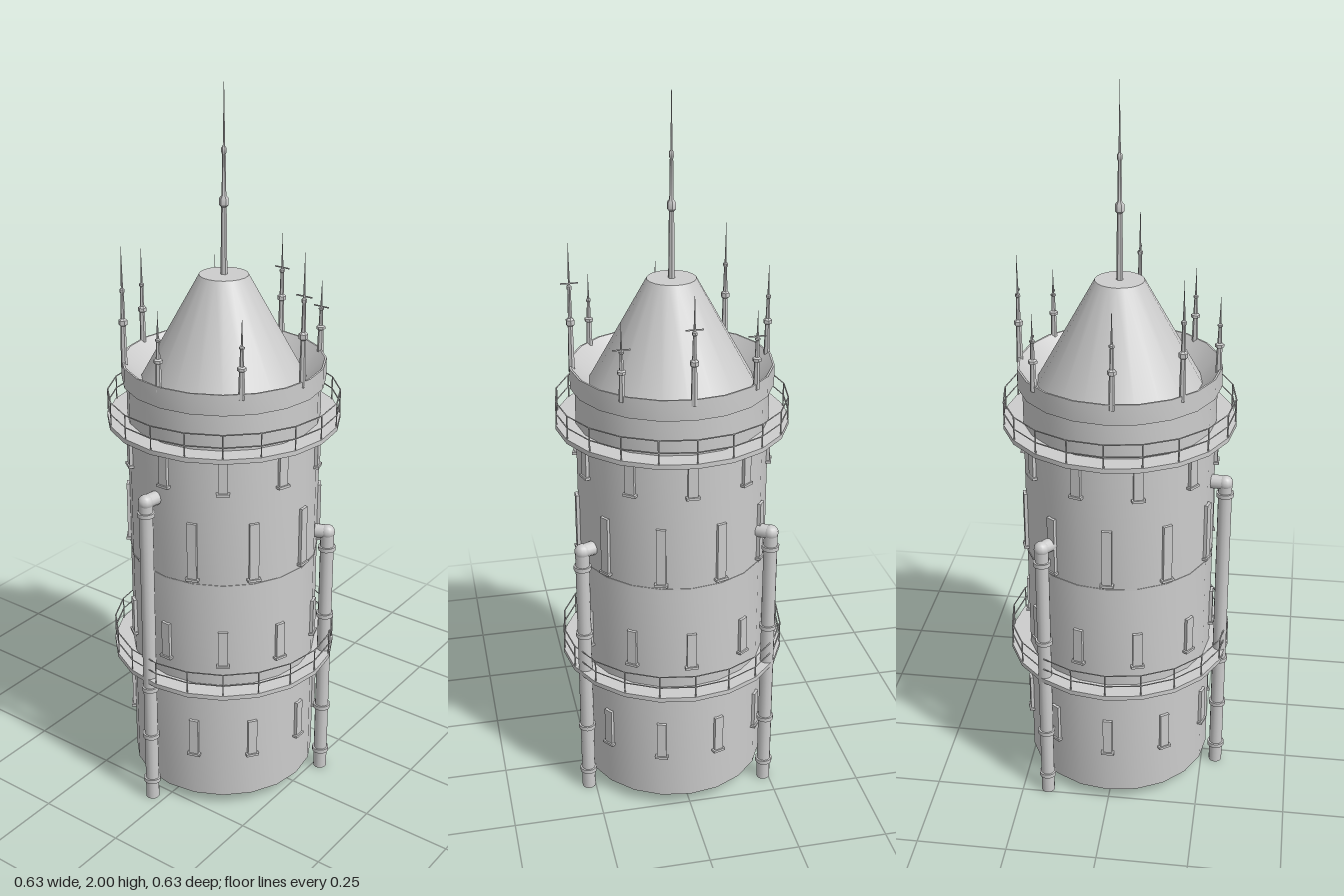
import * as THREE from 'three';
import { toCreasedNormals } from 'three/addons/utils/BufferGeometryUtils.js';

const SIDES = 20;
const grey = new THREE.MeshStandardMaterial({ color: 0xcccccc, side: THREE.DoubleSide });
grey.name = 'pale grey';

function add(parent, name, geometry, x = 0, y = 0, z = 0) {
  const mesh = new THREE.Mesh(geometry, grey);
  mesh.name = name;
  mesh.position.set(x, y, z);
  parent.add(mesh);
  return mesh;
}

function group(parent, name) {
  const g = new THREE.Group();
  g.name = name;
  parent.add(g);
  return g;
}

// Turned part from [radius, height] pairs, with crisp profile edges
function turned(points, sides = SIDES) {
  const profile = points.map(([r, y]) => new THREE.Vector2(r, y));
  return toCreasedNormals(new THREE.LatheGeometry(profile, sides), 0.6);
}

// Ring of small boxed windows with a sill below each one
function windowRow(parent, bottom, height, offset) {
  const row = group(parent, 'windowRow');
  for (let i = 0; i < 10; i++) {
    const holder = group(row, 'window');
    holder.rotation.y = offset + (i * Math.PI) / 5;
    add(holder, 'windowFrame', new THREE.BoxGeometry(0.026, height, 0.02), 0, bottom + height / 2, 0.257);
    add(holder, 'windowSill', new THREE.BoxGeometry(0.036, 0.007, 0.026), 0, bottom, 0.258);
  }
}

// Walkway with posts and two handrails
function balcony(parent, y) {
  const g = group(parent, 'balcony');
  g.position.y = y;
  add(g, 'walkway', turned([[0.255, 0], [0.314, 0], [0.314, 0.013], [0.255, 0.013]]));
  for (const h of [0.044, 0.078]) {
    const rail = add(g, 'handrail', new THREE.TorusGeometry(0.311, 0.002, 4, SIDES), 0, h, 0);
    rail.rotation.x = Math.PI / 2;
  }
  for (let i = 0; i < SIDES; i++) {
    const a = (i / SIDES) * Math.PI * 2;
    add(g, 'railPost', new THREE.CylinderGeometry(0.002, 0.002, 0.07, 4),
      0.311 * Math.sin(a), 0.044, 0.311 * Math.cos(a));
  }
}

// Drain pipe with collars and an elbow into the wall
function pipe(parent, x, z, top, collars) {
  const g = group(parent, 'drainPipe');
  g.position.set(x, 0, z);
  g.rotation.y = Math.atan2(x, z);
  add(g, 'pipeShaft', new THREE.CylinderGeometry(0.019, 0.019, top - 0.02, 12), 0, (top - 0.02) / 2, 0);
  add(g, 'pipeElbow', new THREE.SphereGeometry(0.021, 12, 8), 0, top - 0.021, 0);
  const inlet = add(g, 'pipeInlet', new THREE.CylinderGeometry(0.019, 0.019, 0.06, 12), 0, top - 0.021, -0.03);
  inlet.rotation.x = Math.PI / 2;
  for (const y of collars) add(g, 'pipeCollar', new THREE.CylinderGeometry(0.024, 0.024, 0.012, 12), 0, y, 0);
}

// Tapering six-sided spire with collars; some carry a crossbar
function spire(parent, x, y, z, height, crossbar) {
  const g = group(parent, 'spire');
  g.position.set(x, y, z);
  const p = (r, t) => [r, t * height];
  add(g, 'spireShaft', turned([
    [0, 0], [0.009, 0], p(0.007, 0.34), p(0.012, 0.35), p(0.012, 0.385), p(0.006, 0.4),
    p(0.0045, 0.6), p(0.007, 0.61), p(0.007, 0.63), p(0.003, 0.64), p(0, 1),
  ], 6));
  if (crossbar) add(g, 'spireCrossbar', new THREE.BoxGeometry(0.046, 0.003, 0.003), 0, height * 0.65, 0);
}

export function createModel() {
  const model = new THREE.Group();
  model.name = 'tower';

  // Open-bottomed wall drums
  for (const [bottom, top] of [[0.035, 0.395], [0.395, 0.71], [0.71, 1.09], [1.09, 1.205]]) {
    add(model, 'wallDrum', turned([[0.26, bottom], [0.26, top]]));
  }
  add(model, 'wallSeam', turned([[0.259, 0.707], [0.2615, 0.707], [0.2615, 0.711], [0.259, 0.711]]));

  // Crown with a gutter sloping in to the cone roof
  add(model, 'crown', turned([[0.255, 1.2], [0.272, 1.2], [0.272, 1.256], [0.267, 1.256], [0.219, 1.205]]));
  add(model, 'coneRoof', turned([[0.22, 1.205], [0.065, 1.485], [0, 1.485]]));

  // Windows, alternately staggered
  windowRow(model, 0.17, 0.11, Math.PI / 10);
  windowRow(model, 0.465, 0.105, 0);
  windowRow(model, 0.725, 0.165, Math.PI / 10);
  windowRow(model, 0.98, 0.11, 0);

  balcony(model, 0.389);
  balcony(model, 1.087);

  pipe(model, -0.037, 0.292, 0.955, [0.06, 0.21, 0.365, 0.9]);
  pipe(model, 0.269, -0.113, 0.795, [0.06, 0.21, 0.515, 0.725]);
  pipe(model, -0.236, -0.178, 0.83, [0.06, 0.21, 0.515, 0.765]);

  // Roof spire and the ring of smaller ones on the crown
  spire(model, 0, 1.485, 0, 0.515, false);
  const ring = [
    [0, -0.268, 1.545, true], [0.17, -0.205, 1.45, true], [0.263, 0.022, 1.61, true],
    [0.19, 0.183, 1.46, false], [-0.01, 0.262, 1.46, false], [-0.19, 0.183, 1.58, false],
    [-0.265, 0.015, 1.515, false], [-0.178, -0.198, 1.46, true],
  ];
  for (const [x, z, top, bar] of ring) spire(model, x, 1.24, z, top - 1.24, bar);

  return model;
}
